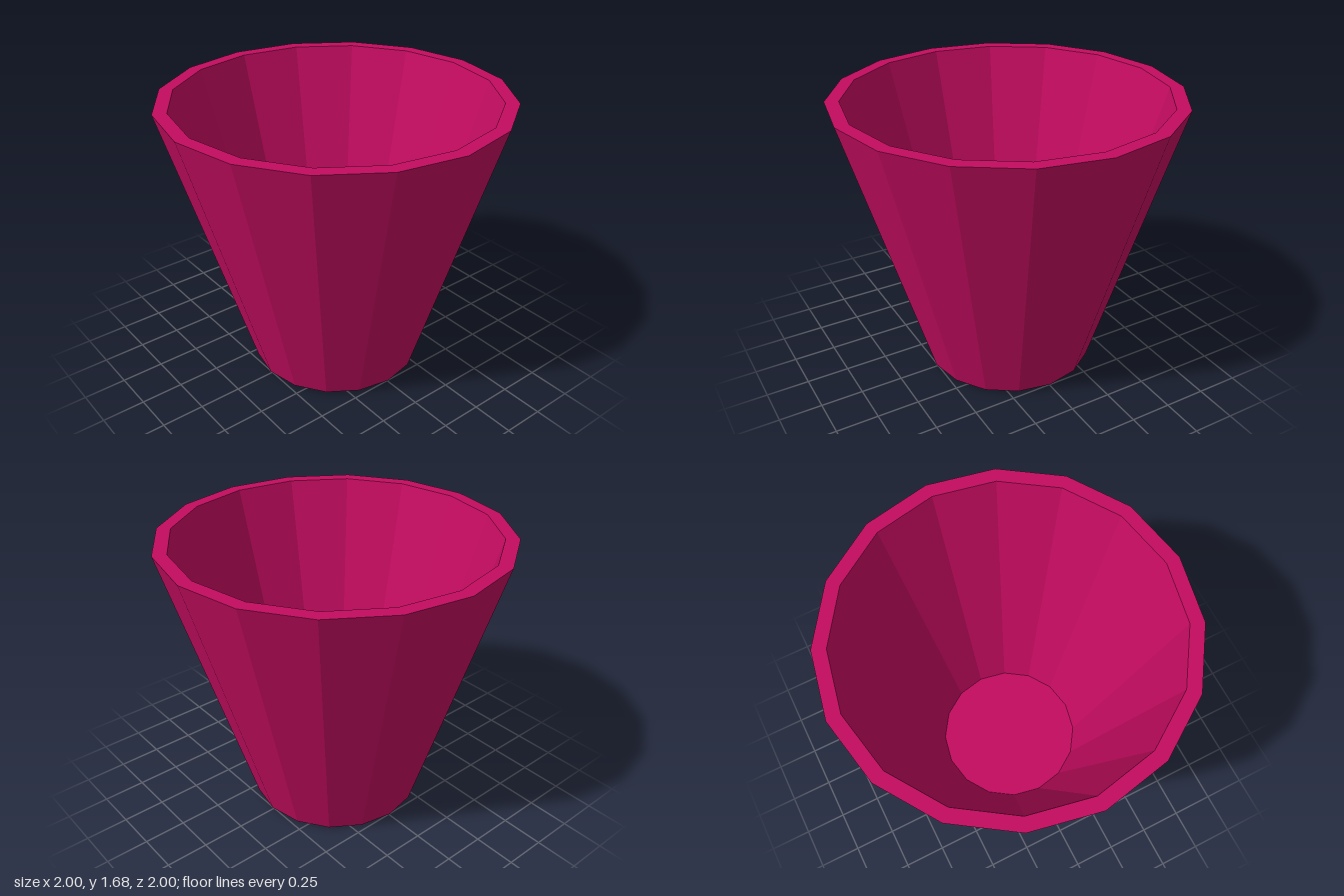
import * as THREE from 'three';

const SIDES = 16;

export function createModel() {
  const group = new THREE.Group();
  group.name = 'cup';

  const material = new THREE.MeshStandardMaterial({ color: 0xc40c60, flatShading: true });

  // Closed wall profile: underside, outer wall, rim, inner wall, floor
  const profile = [
    [0, 0],
    [0.43, 0],
    [0.51, 0.01],
    [1, 1.68],
    [0.92, 1.68],
    [0.44, 0.05],
    [0, 0.05],
  ].map(([r, y]) => new THREE.Vector2(r, y));

  // Faceted tapered cup, one corner on each axis
  const cup = new THREE.Mesh(new THREE.LatheGeometry(profile, SIDES), material);
  cup.name = 'cupBody';
  group.add(cup);

  return group;
}
